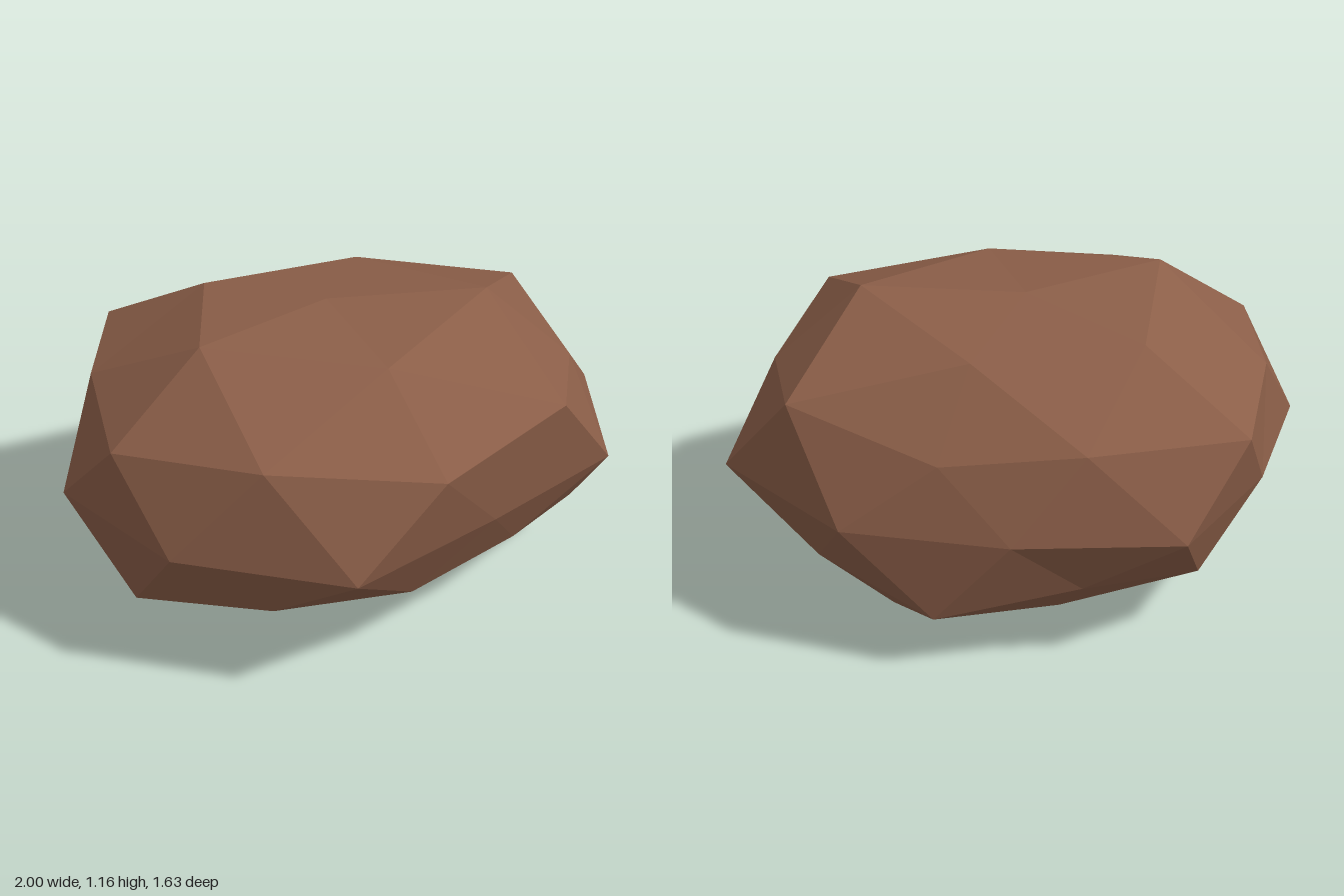
import * as THREE from 'three';

// Rock stretch along each axis and the centre it swells from
const STRETCH = new THREE.Vector3(1, 0.625, 0.83);
const CENTRE = new THREE.Vector3(-0.037, 0.577, -0.1);
const STEP = Math.PI / 5;

// Swell of each corner, ring by ring, going round from +x towards +z
const EQUATOR = [1.05, 0.885, 1.097, 1.038, 1.015, 0.885, 0.985, 0.867, 0.985, 1.09];
const UPPER = {
  pole: 0.917,
  cap: [1.09, 1.0, 1.085, 0.98, 0.96],
  belt: [1.0, 1.12, 1.12, 1.1, 1.08, 0.99, 1.07, 0.923, 0.89, 1.115],
};
const LOWER = {
  pole: 0.91,
  cap: [0.87, 0.89, 1.065, 0.905, 1.085],
  belt: [0.88, 0.89, 0.957, 1.07, 0.87, 0.918, 0.85, 1.015, 0.965, 1.11],
};

// A corner on the sphere at the given height and angle, swollen and stretched
function corner(height, angle, swell) {
  const r = Math.sqrt(1 - height * height);
  return new THREE.Vector3(r * Math.cos(angle), height, r * Math.sin(angle))
    .multiplyScalar(swell).multiply(STRETCH).add(CENTRE);
}

// One half of the faceted ball: pole, cap of five, belt of ten, equator of ten
function addHalf(out, half, side, turn) {
  const pole = corner(side, 0, half.pole);
  const cap = half.cap.map((s, k) => corner(side * 0.8507, (2 * k + turn) * STEP, s));
  const belt = half.belt.map((s, j) =>
    corner(side * (j % 2 ? 0.5257 : 0.4472), (j + turn) * STEP, s));
  const rim = EQUATOR.map((_, j) => {
    const i = (j + turn) % 10;
    return corner(0, (i + 0.5) * STEP, EQUATOR[i]);
  });
  const face = (a, b, c) => {
    for (const p of side > 0 ? [a, c, b] : [a, b, c]) out.push(p.x, p.y, p.z);
  };
  for (let k = 0; k < 5; k++) {
    const next = cap[(k + 1) % 5];
    const before = belt[(2 * k + 9) % 10], mid = belt[2 * k], after = belt[2 * k + 1];
    face(pole, cap[k], next);
    face(cap[k], mid, before);
    face(cap[k], after, mid);
    face(cap[k], after, next);
  }
  for (let j = 0; j < 10; j++) {
    face(belt[j], rim[j], rim[(j + 9) % 10]);
    face(belt[j], rim[j], belt[(j + 1) % 10]);
  }
}

// Flip any triangle that does not face away from the centre
function faceOutward(p) {
  const [a, b, c] = [0, 1, 2].map(() => new THREE.Vector3());
  for (let i = 0; i < p.length; i += 9) {
    a.fromArray(p, i).sub(CENTRE);
    b.fromArray(p, i + 3).sub(CENTRE);
    c.fromArray(p, i + 6).sub(CENTRE);
    if (a.dot(b.clone().cross(c)) < 0) {
      c.add(CENTRE).toArray(p, i + 3);
      b.add(CENTRE).toArray(p, i + 6);
    }
  }
}

export function createModel() {
  const group = new THREE.Group();
  group.name = 'boulder';

  const brown = new THREE.MeshStandardMaterial({ color: 0x8b5e48 });
  brown.name = 'earth brown';

  const positions = [];
  addHalf(positions, UPPER, 1, 0);
  addHalf(positions, LOWER, -1, 1);
  faceOutward(positions);

  // Unshared corners give every facet its own flat normal
  const geometry = new THREE.BufferGeometry();
  geometry.setAttribute('position', new THREE.Float32BufferAttribute(positions, 3));
  geometry.computeVertexNormals();

  const rock = new THREE.Mesh(geometry, brown);
  rock.name = 'rock';
  group.add(rock);
  return group;
}
